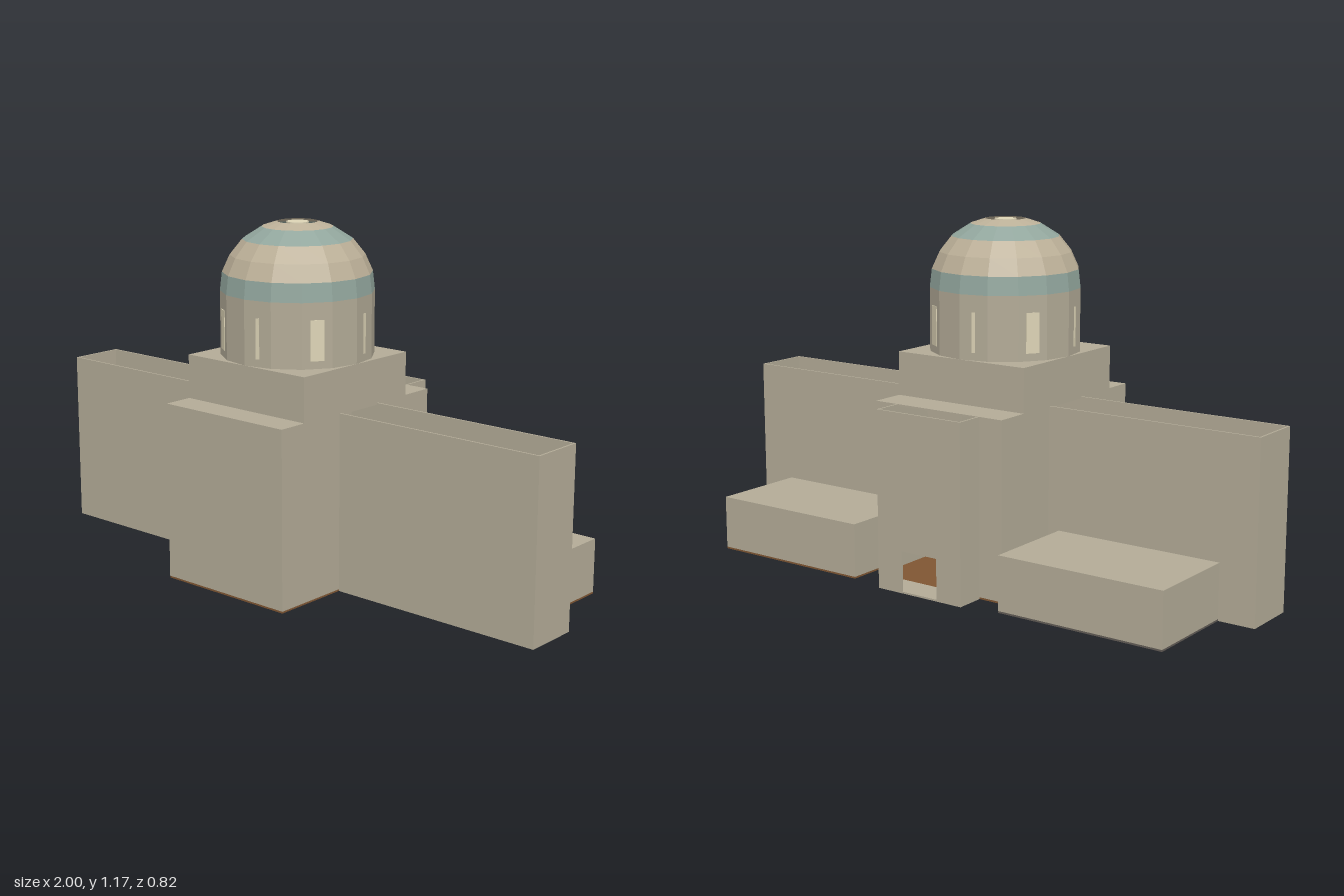
import * as THREE from 'three';

const mat = (name, color, extra = {}) => {
  const m = new THREE.MeshStandardMaterial({ color, flatShading: true, side: THREE.DoubleSide, ...extra });
  m.name = name;
  return m;
};

export function createModel() {
  const concrete = mat('concrete', 0xb3ab97);
  const domeBeige = mat('domeBeige', 0xbcb098);
  const blueGreen = mat('blueGreenBand', 0x92a69d);
  const brown = mat('brownFloor', 0x7f5633);
  const darkGrey = mat('darkGreyFloor', 0x625c56);
  const pale = mat('paleGlass', 0xddd4b6);

  const model = new THREE.Group();
  model.name = 'domedBuilding';
  const T = 0.006; // wall thickness
  const group = (name) => {
    const g = new THREE.Group();
    g.name = name;
    model.add(g);
    return g;
  };
  // Box given by its two extreme corners
  const slab = (parent, name, m, x0, x1, y0, y1, z0, z1) => {
    const mesh = new THREE.Mesh(new THREE.BoxGeometry(x1 - x0, y1 - y0, z1 - z0), m);
    mesh.position.set((x0 + x1) / 2, (y0 + y1) / 2, (z0 + z1) / 2);
    mesh.name = name;
    parent.add(mesh);
  };

  const W = 0.25, H = 0.59, FRONT = 0.41, BACK = -0.31;
  const UP = 0.735, UF = 0.308, UB = -0.192, CZ = 0.058;
  const WF = 0.14, WB = -0.05, TX = 0.165, TB = -0.41;

  // Central hall, open towards the wings and the rear porch
  const hall = group('centralHall');
  slab(hall, 'hallFloor', brown, -W, W, 0, T, BACK, FRONT);
  slab(hall, 'hallGallery', brown, -W + T, W - T, 0.375, 0.38, BACK + T, FRONT - T);
  slab(hall, 'hallFrontWall', concrete, -W, W, T, H, FRONT - T, FRONT);
  slab(hall, 'hallFrontLedge', concrete, -W, W, H - T, H, UF - T, FRONT);
  slab(hall, 'hallBackLedge', concrete, -W, W, H - T, H, BACK, UB + T);
  for (const s of [-1, 1]) {
    const a = Math.min(s * W, s * (W - T)), b = a + T;
    slab(hall, 'hallSideWallFront', concrete, a, b, T, H, WF, FRONT);
    slab(hall, 'hallSideWallBack', concrete, a, b, T, H, BACK, WB);
    slab(hall, 'hallBackWall', concrete, Math.min(s * W, s * TX), Math.max(s * W, s * TX), T, H, BACK, BACK + T);
    slab(hall, 'upperSideWall', concrete, a, b, H - T, UP, UB, UF);
  }

  // Upper block with a round opening under the drum
  slab(hall, 'upperFrontWall', concrete, -W, W, H - T, UP, UF - T, UF);
  slab(hall, 'upperBackWall', concrete, -W, W, H - T, UP, UB, UB + T);
  const roofShape = new THREE.Shape([[-W, -W], [W, -W], [W, W], [-W, W]].map(p => new THREE.Vector2(...p)));
  const hole = new THREE.Path();
  hole.absarc(0, 0, 0.24, 0, Math.PI * 2, true);
  roofShape.holes.push(hole);
  const roof = new THREE.Mesh(new THREE.ExtrudeGeometry(roofShape, { depth: T, bevelEnabled: false, curveSegments: 16 }), concrete);
  roof.rotation.x = -Math.PI / 2;
  roof.position.set(0, UP - T, CZ);
  roof.name = 'upperRoof';
  hall.add(roof);

  // Wings without roofs, each with a low annex behind
  for (const s of [-1, 1]) {
    const wing = group(s > 0 ? 'leftWing' : 'rightWing');
    const span = (a, b) => (s > 0 ? [a, b] : [-b, -a]);
    slab(wing, 'wingFloor', concrete, ...span(W, 1), 0, T, WB, WF);
    slab(wing, 'wingFrontWall', concrete, ...span(W, 1), T, H, WF - T, WF);
    slab(wing, 'wingBackWall', concrete, ...span(W, 1), T, H, WB, WB + T);
    slab(wing, 'wingEndWall', concrete, ...span(1 - T, 1), T, H, WB, WF);
    slab(wing, 'annex', concrete, ...span(0.29, 0.875), T, 0.185, -0.383, WB);
    slab(wing, 'annexFloor', s > 0 ? brown : darkGrey, ...span(0.29, 0.875), 0, T, -0.383, WB);
  }

  // Rear porch: open at the top, with a doorway
  const porch = group('rearPorch');
  slab(porch, 'porchFloor', concrete, -TX, TX, 0, T, TB, BACK);
  for (const s of [-1, 1]) {
    const a = Math.min(s * TX, s * (TX - T));
    slab(porch, 'porchSideWall', concrete, a, a + T, T, H, TB, BACK);
    slab(porch, 'doorJamb', concrete, Math.min(s * TX, s * 0.07), Math.max(s * TX, s * 0.07), T, H, TB, TB + T);
  }
  slab(porch, 'doorHeader', concrete, -0.07, 0.07, 0.14, H, TB, TB + T);

  // Sixteen-sided drum and dome in coloured rings, open at the crown
  const dome = group('dome');
  dome.position.z = CZ;
  const profile = [[0.25, UP], [0.25, 0.945], [0.243, 1.005], [0.218, 1.06], [0.178, 1.11], [0.115, 1.15], [0.066, 1.166]];
  const rings = [
    ['drum', 0, 1, concrete], ['lowerBand', 1, 2, blueGreen], ['domeShell', 2, 4, domeBeige],
    ['upperBand', 4, 5, blueGreen], ['domeCrown', 5, 6, domeBeige],
  ];
  for (const [name, a, b, m] of rings) {
    const pts = profile.slice(a, b + 1).map(p => new THREE.Vector2(...p));
    const ring = new THREE.Mesh(new THREE.LatheGeometry(pts, 16), m);
    ring.name = name;
    dome.add(ring);
  }
  const disc = new THREE.Mesh(new THREE.CylinderGeometry(0.036, 0.036, 0.005, 16), pale);
  disc.position.y = 1.163;
  disc.name = 'crownDisc';
  dome.add(disc);

  // Windows on every second face of the drum, wide and narrow in turn
  const apothem = 0.25 * Math.cos(Math.PI / 16);
  for (let i = 0; i < 8; i++) {
    const a = Math.PI / 16 + i * Math.PI / 4;
    const pane = new THREE.Mesh(new THREE.BoxGeometry(i % 2 ? 0.045 : 0.012, 0.13, 0.004), pale);
    pane.position.set(Math.sin(a) * apothem, 0.825, Math.cos(a) * apothem);
    pane.rotation.y = a;
    pane.name = 'drumWindow';
    dome.add(pane);
  }
  return model;
}
